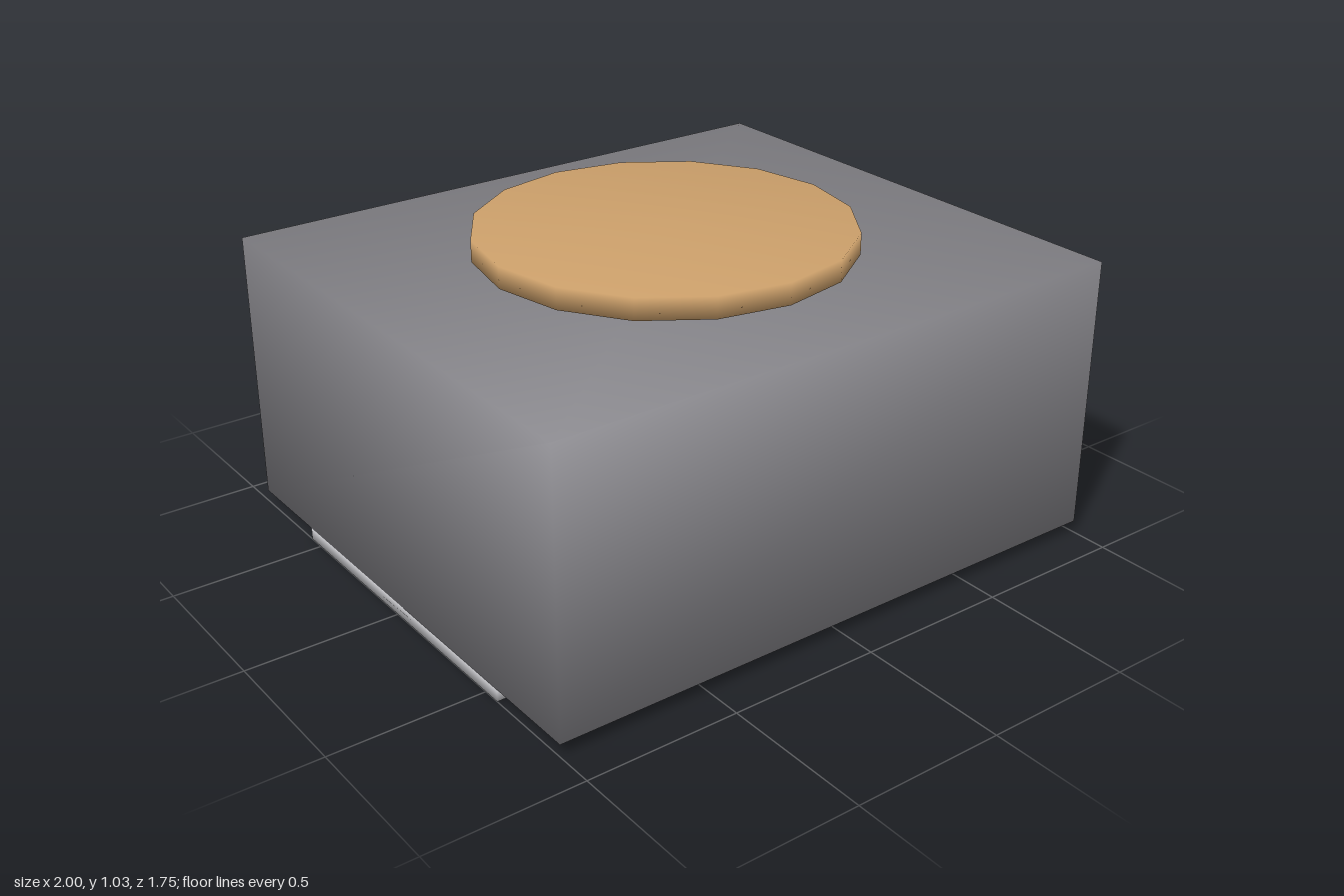
import * as THREE from 'three';
import { mergeVertices } from 'three/addons/utils/BufferGeometryUtils.js';

// Weld the corners so the shading runs smoothly over every edge
function smooth(geometry) {
  geometry.deleteAttribute('uv');
  geometry.deleteAttribute('normal');
  const welded = mergeVertices(geometry, 1e-4);
  welded.computeVertexNormals();
  return welded;
}

export function createModel() {
  const group = new THREE.Group();
  const material = (name, color) => {
    const m = new THREE.MeshStandardMaterial({ color });
    m.name = name;
    return m;
  };
  const darkGrey = material('dark grey', 0x87868b);
  const tan = material('tan', 0xcb9f6a);
  const lightGrey = material('light grey', 0xc4c4c8);

  const add = (name, geometry, mat, x, y, z) => {
    const mesh = new THREE.Mesh(smooth(geometry), mat);
    mesh.name = name;
    mesh.position.set(x, y, z);
    group.add(mesh);
  };

  // Main block
  add('body', new THREE.BoxGeometry(2, 0.9, 1.75), darkGrey, 0, 0.49, 0);

  // Round plate hovering just above the block
  add('topDisc', new THREE.CylinderGeometry(0.6, 0.6, 0.07, 16), tan, 0, 0.992, 0);

  // Flat runners under both sides
  for (const [name, side] of [['leftFoot', 1], ['rightFoot', -1]]) {
    add(name, new THREE.BoxGeometry(0.3, 0.04, 1.12), lightGrey, side * 0.85, 0.02, 0);
  }
  return group;
}
